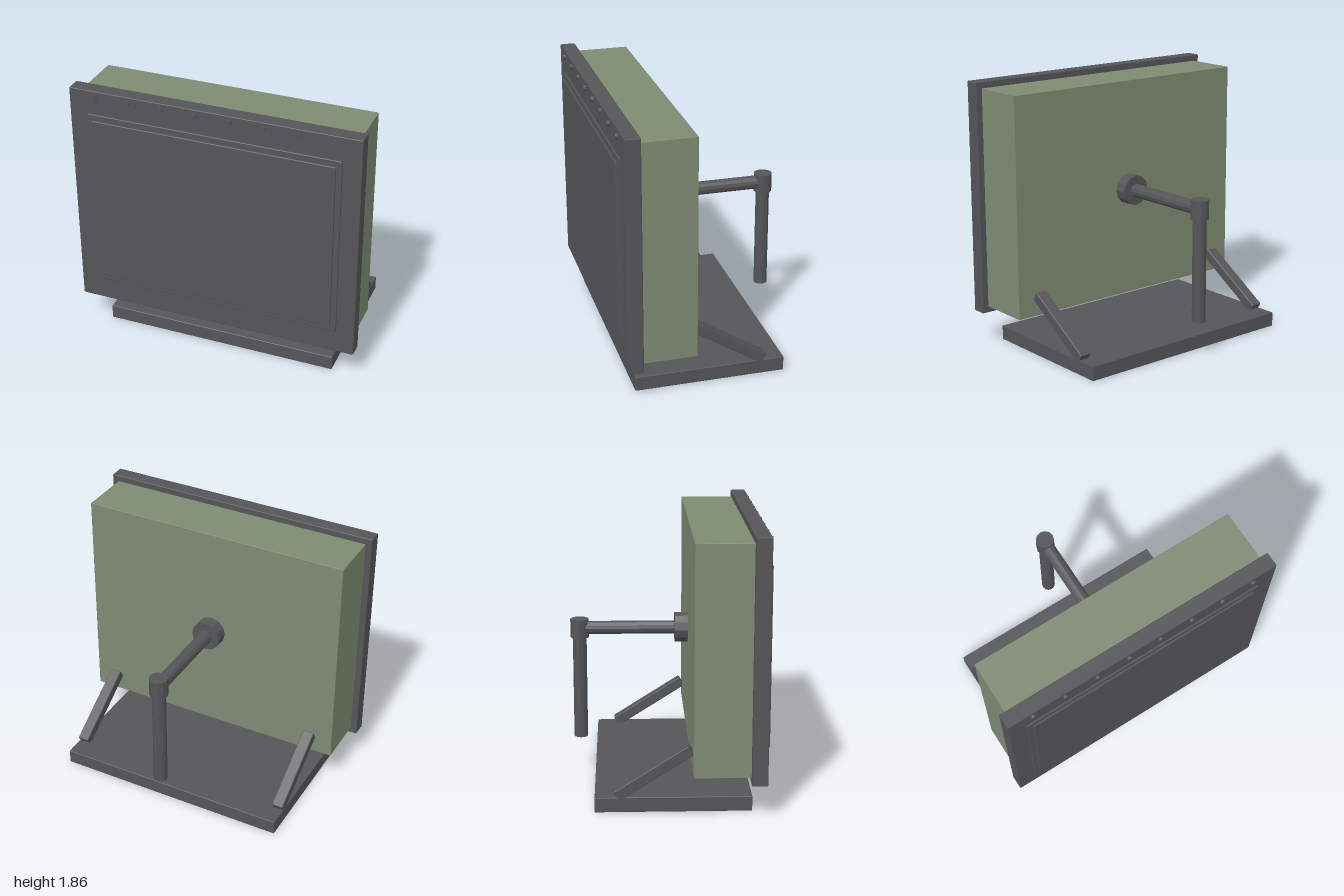
import * as THREE from 'three';
import { RoundedBoxGeometry } from 'three/addons/geometries/RoundedBoxGeometry.js';

export function createModel() {
  const model = new THREE.Group();
  model.name = 'standingPanelUnit';

  const grey = new THREE.MeshStandardMaterial({ color: 0x555458 });
  grey.name = 'dark grey';
  const green = new THREE.MeshStandardMaterial({ color: 0x7f8a72 });
  green.name = 'sage green';

  function add(name, geometry, material) {
    const mesh = new THREE.Mesh(geometry, material);
    mesh.name = name;
    model.add(mesh);
    return mesh;
  }

  // Softly bevelled box given by its limits, symmetric in x
  function slab(name, halfWidth, y0, y1, z0, z1, material, bevel = 0.005) {
    const mesh = add(name, new RoundedBoxGeometry(halfWidth * 2, y1 - y0, z1 - z0, 1, bevel), material);
    mesh.position.set(0, (y0 + y1) / 2, (z0 + z1) / 2);
    return mesh;
  }

  // Faceted rod between two points
  function rod(name, from, to, radius, sides = 12) {
    const a = new THREE.Vector3(...from);
    const b = new THREE.Vector3(...to);
    const geometry = new THREE.CylinderGeometry(radius, radius, a.distanceTo(b), sides).toNonIndexed();
    geometry.computeVertexNormals();
    const mesh = add(name, geometry, grey);
    mesh.position.copy(a).lerp(b, 0.5);
    mesh.quaternion.setFromUnitVectors(new THREE.Vector3(0, 1, 0), b.sub(a).normalize());
    return mesh;
  }

  // Base, housing and front
  slab('base', 0.83, 0, 0.102, -0.487, 0.55, grey);
  slab('housing', 0.955, 0.275, 1.811, 0.157, 0.54, green, 0.003);
  slab('bezel', 1, 0.232, 1.855, 0.53, 0.634, grey);
  slab('screenFrame', 0.875, 0.397, 1.69, 0.62, 0.646, grey);
  slab('screen', 0.837, 0.44, 1.648, 0.63, 0.658, grey);

  // Row of buttons along the top
  for (let i = 0; i < 8; i++) {
    const x = -0.82 + (i * 1.64) / 7;
    rod('button' + (i + 1), [x, 1.814, 0.63], [x, 1.814, 0.652], 0.019);
  }

  // Slanted braces from the base to the housing
  for (const side of [-1, 1]) {
    const brace = add(side < 0 ? 'rightBrace' : 'leftBrace',
      new RoundedBoxGeometry(0.08, 0.072, 0.585, 1, 0.006), grey);
    brace.position.set(side * 0.79, 0.265, -0.098);
    brace.rotation.x = -0.567;
  }

  // Rear arm, elbow and hanging handle
  rod('armFlange', [0, 1.044, 0.165], [0, 1.044, 0.068], 0.106);
  rod('arm', [0, 1.044, 0.08], [0, 1.044, -0.59], 0.047);
  rod('elbow', [0, 0.977, -0.593], [0, 1.108, -0.593], 0.064);
  rod('handle', [0, 0.255, -0.593], [0, 1.0, -0.593], 0.048);

  return model;
}
